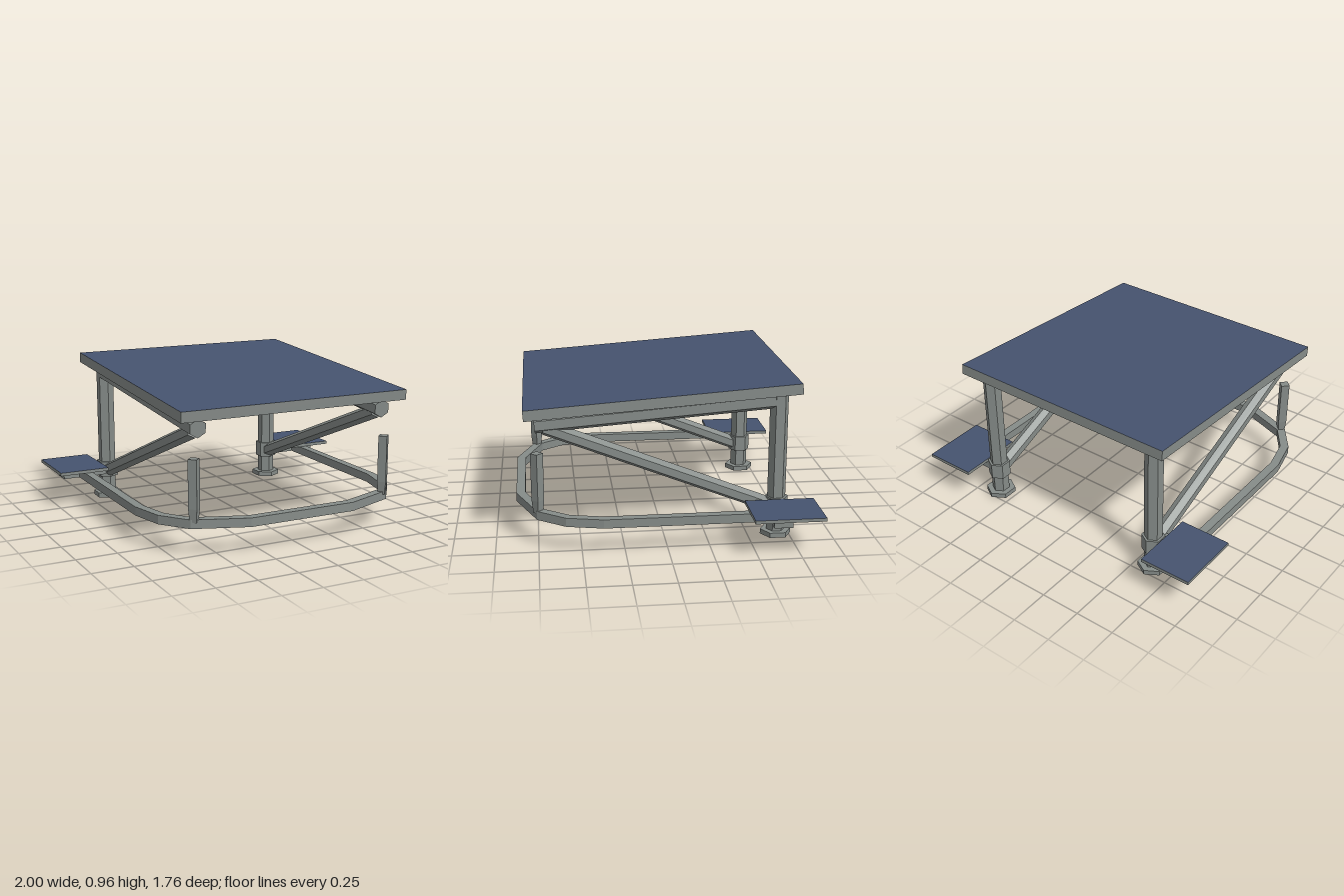
import * as THREE from 'three';

const steel = new THREE.MeshStandardMaterial({ color: 0x868c89 });
steel.name = 'steelGrey';
const blue = new THREE.MeshStandardMaterial({ color: 0x46536f });
blue.name = 'slateBlue';

// Faceted mesh with one normal per face
function part(name, geometry, material = steel) {
  const faceted = geometry.index ? geometry.toNonIndexed() : geometry;
  faceted.computeVertexNormals();
  const mesh = new THREE.Mesh(faceted, material);
  mesh.name = name;
  return mesh;
}

// Hexagonal bar between two [y, z] points, corners facing fore and aft of its axis
function hexBar(name, radius, [y0, z0], [y1, z1]) {
  const length = Math.hypot(y1 - y0, z1 - z0);
  const mesh = part(name, new THREE.CylinderGeometry(radius, radius, length, 6));
  mesh.position.set(0, (y0 + y1) / 2, (z0 + z1) / 2);
  mesh.rotation.x = Math.atan2(z1 - z0, y1 - y0);
  return mesh;
}

// Grey board with a blue upper face
function board(name, w, h, d) {
  return part(name, new THREE.BoxGeometry(w, h, d), [steel, steel, blue, steel, steel, steel]);
}

// Bent floor rail: right half of the outline, mirrored to the other side
function makeRail() {
  const outer = [[0.835, -0.64], [0.835, 0.375], [0.785, 0.59], [0.66, 0.755], [0.34, 0.877]];
  const inner = [[0.782, -0.64], [0.782, 0.37], [0.737, 0.565], [0.63, 0.71], [0.33, 0.822]];
  const mirror = (pts) => pts.map(([x, z]) => [-x, z]).reverse();
  const outline = [...outer, ...mirror(outer), ...mirror(inner).reverse(), ...inner.slice().reverse()];
  const shape = new THREE.Shape(outline.map(([x, z]) => new THREE.Vector2(x, z)));
  const geometry = new THREE.ExtrudeGeometry(shape, { depth: 0.053, bevelEnabled: false });
  geometry.rotateX(Math.PI / 2);
  const mesh = part('floorRail', geometry);
  mesh.position.y = 0.218;
  return mesh;
}

// Leg, braces, post and seat of one side
function makeSide(s) {
  const side = new THREE.Group();
  side.name = s > 0 ? 'leftSide' : 'rightSide';

  const frame = new THREE.Group();
  frame.name = 'legFrame';
  frame.position.x = s * 0.61;
  frame.add(
    hexBar('foot', 0.093, [0, -0.672], [0.03, -0.672]),
    hexBar('leg', 0.055, [0.01, -0.672], [0.89, -0.672]),
    hexBar('legCollar', 0.07, [0.14, -0.672], [0.24, -0.672]),
    hexBar('topBeam', 0.055, [0.733, 0.755], [0.838, -0.645]),
    hexBar('diagonalBrace', 0.045, [0.714, 0.7], [0.182, -0.64]),
  );
  side.add(frame);

  // Upright post on the rail corner, narrowed at its base
  const profile = [[0, 0], [0.028, 0], [0.037, 0.08], [0.037, 0.365], [0, 0.365]];
  const post = part('frontPost', new THREE.LatheGeometry(profile.map(([x, y]) => new THREE.Vector2(x, y)), 4));
  post.position.set(s * 0.634, 0.2, 0.747);
  side.add(post);

  // Seat plate on its bracket arm
  const seat = board('seat', 0.323, 0.02, 0.413);
  seat.position.set(s * 0.8385, 0.23, -0.6765);
  const arm = part('seatArm', new THREE.BoxGeometry(0.31, 0.054, 0.11));
  arm.position.set(s * 0.785, 0.192, -0.647);
  side.add(seat, arm);
  return side;
}

export function createModel() {
  const model = new THREE.Group();
  model.name = 'desk';

  // Sloping desktop
  const top = board('desktop', 1.48, 0.063, 1.6);
  top.position.set(0, 0.874, 0.018);
  top.rotation.x = 0.07;

  model.add(top, makeRail(), makeSide(1), makeSide(-1));
  return model;
}
